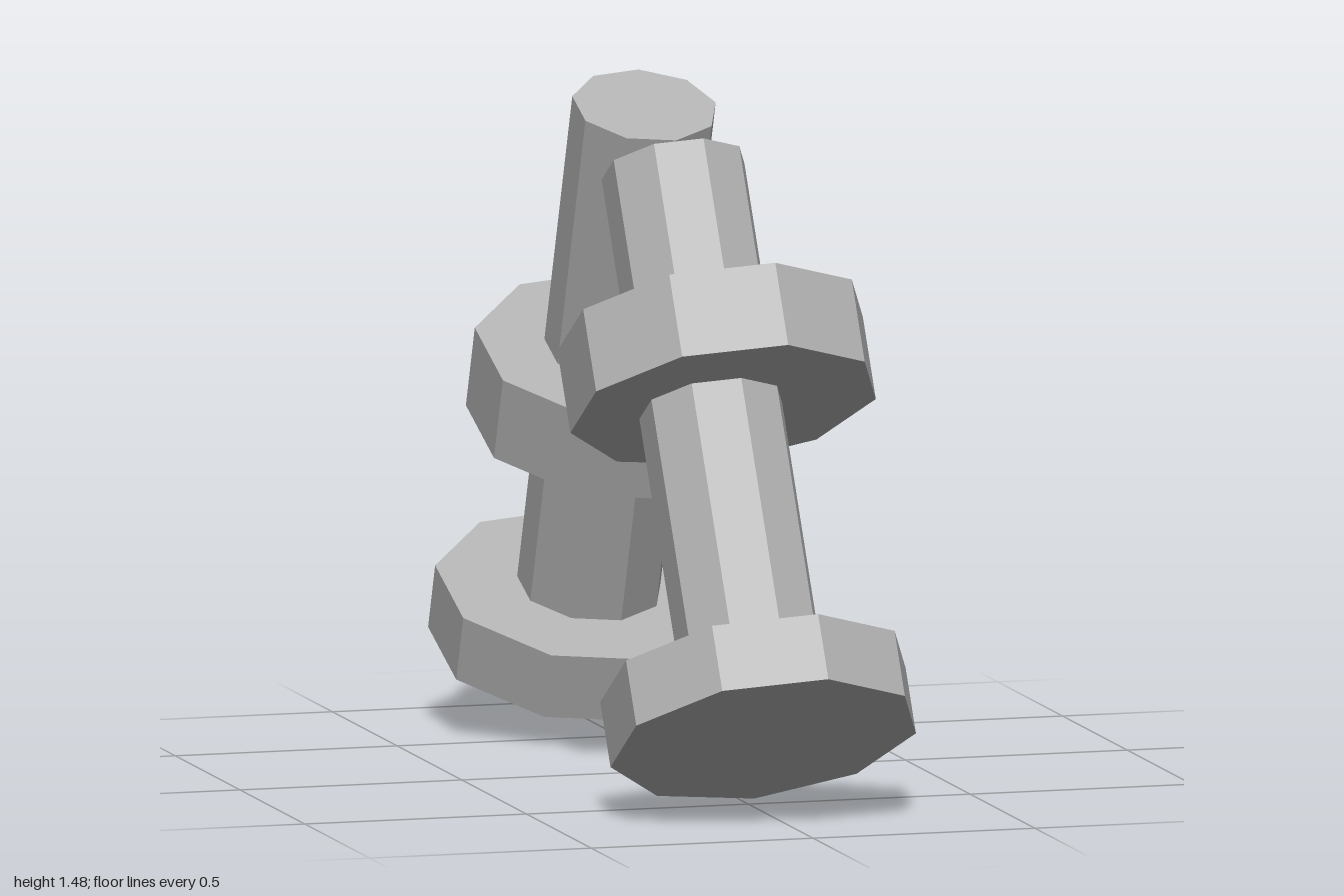
import * as THREE from 'three';

export function createModel() {
  const steel = new THREE.MeshStandardMaterial({ color: 0xb2b2b2 });
  steel.name = 'steel grey';
  steel.flatShading = true;

  const SIDES = 9;

  // Nine-sided prism along y with one corner pointing to +x
  function prism(name, radius, height, x, centreY) {
    const geo = new THREE.CylinderGeometry(radius, radius, height, SIDES, 1, false, Math.PI / 2);
    const mesh = new THREE.Mesh(geo, steel);
    mesh.name = name;
    mesh.position.set(x, centreY, 0);
    return mesh;
  }

  // Bolt standing on its head, with a nut part-way up, leaning about x
  function bolt(name, y, z, leanDegrees, nutHeight) {
    const length = 1.346, headThickness = 0.153;
    const group = new THREE.Group();
    group.name = name;
    group.add(
      prism('head', 0.34, headThickness, -0.025, headThickness / 2),
      prism('shaft', 0.159, length - 0.08, -0.027, (length + 0.08) / 2),
      prism('nut', 0.34, 0.193, 0.003, nutHeight),
    );
    group.position.set(0, y, z);
    group.rotation.x = THREE.MathUtils.degToRad(leanDegrees);
    return group;
  }

  const model = new THREE.Group();
  model.name = 'leaningBolts';
  model.add(
    bolt('frontBolt', 0.18, 0.715, -31.2, 0.88),
    bolt('backBolt', 0.175, -0.685, 20.9, 0.646),
  );
  return model;
}
